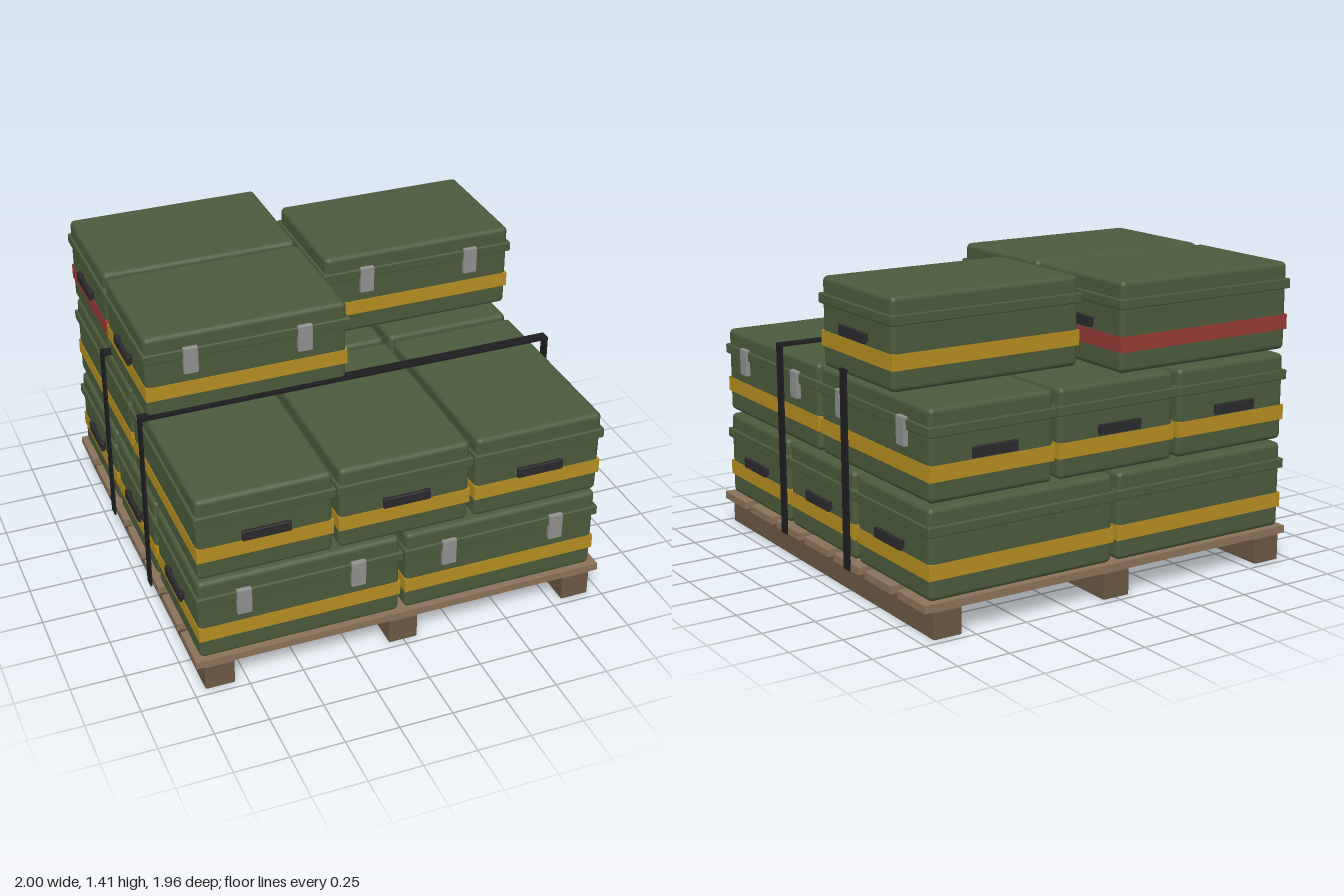
import * as THREE from 'three';
import { RoundedBoxGeometry } from 'three/addons/geometries/RoundedBoxGeometry.js';

const material = (name, color) => {
  const m = new THREE.MeshStandardMaterial({ color });
  m.name = name;
  return m;
};

export function createModel() {
  const green = material('olive green', 0x4b5a3b);
  const yellow = material('band yellow', 0xb58d20);
  const red = material('band red', 0x963a34);
  const grey = material('latch grey', 0x8f918d);
  const black = material('handle black', 0x2a2a2c);
  const webbing = material('strap black', 0x1e1e20);
  const plankWood = material('plank wood', 0x8a7259);
  const runnerWood = material('runner wood', 0x6b5842);

  // Case dimensions: length, height, depth
  const L = 0.937, H = 0.405, D = 0.612;
  const geo = {
    shell: new RoundedBoxGeometry(L, H, D, 3, 0.024),
    rim: new RoundedBoxGeometry(L + 0.022, 0.046, D + 0.022, 2, 0.006),
    band: new THREE.BoxGeometry(L + 0.006, 0.07, D + 0.006),
    latch: new RoundedBoxGeometry(0.068, 0.128, 0.024, 1, 0.004),
    handle: new RoundedBoxGeometry(0.018, 0.048, 0.222, 1, 0.004),
    lug: new THREE.BoxGeometry(0.02, 0.034, 0.026),
    runner: new RoundedBoxGeometry(0.138, 0.125, 1.934, 1, 0.006),
    plank: new THREE.BoxGeometry(1.964, 0.035, 0.228),
  };

  const add = (parent, name, geometry, mat, x, y, z) => {
    const mesh = new THREE.Mesh(geometry, mat);
    mesh.name = name;
    mesh.position.set(x, y, z);
    parent.add(mesh);
    return mesh;
  };

  // One case standing on y = 0, latches facing +z, handles on both ends
  const makeCase = (bandMaterial) => {
    const g = new THREE.Group();
    g.name = 'case';
    add(g, 'shell', geo.shell, green, 0, H / 2, 0);
    add(g, 'lidRim', geo.rim, green, 0, 0.306, 0);
    add(g, 'band', geo.band, bandMaterial, 0, 0.129, 0);
    for (const s of [-1, 1]) {
      add(g, 'latch', geo.latch, grey, s * 0.265, 0.274, D / 2 + 0.01);
      add(g, 'handle', geo.handle, black, s * (L / 2 + 0.018), 0.2, 0);
      for (const e of [-1, 1]) add(g, 'handleLug', geo.lug, black, s * (L / 2 + 0.005), 0.2, e * 0.09);
    }
    return g;
  };

  const model = new THREE.Group();
  model.name = 'palletOfCases';

  // Pallet
  const pallet = new THREE.Group();
  pallet.name = 'pallet';
  model.add(pallet);
  for (const x of [-0.877, -0.003, 0.871]) add(pallet, 'runner', geo.runner, runnerWood, x, 0.0625, 0);
  for (let i = -3; i <= 3; i++) add(pallet, 'plank', geo.plank, plankWood, 0, 0.1425, i * 0.2843);

  const place = (x, layer, z, turn = 0, band = yellow) => {
    const c = makeCase(band);
    c.position.set(x, 0.16 + layer * 0.4235, z);
    c.rotation.y = turn;
    model.add(c);
  };

  // Bottom layer lengthwise, middle layer turned a quarter
  for (const a of [-0.483, 0.483]) {
    for (const b of [-0.642, 0, 0.642]) {
      place(a - 0.005, 0, b);
      place(b - 0.005, 1, a, Math.PI / 2);
    }
  }

  // Loose top layer
  place(-0.489, 2, -0.642, 0, red);
  place(-0.489, 2, 0);
  place(0.506, 2, -0.408);

  // Tie-down straps over the lower two layers
  const legGeo = new THREE.BoxGeometry(0.01, 0.91, 0.05);
  const topGeo = new THREE.BoxGeometry(1.99, 0.012, 0.05);
  for (const z of [-0.305, 0.305]) {
    const strap = new THREE.Group();
    strap.name = 'strap';
    for (const s of [-1, 1]) add(strap, 'strapSide', legGeo, webbing, s * 0.99 - 0.005, 0.58, z);
    add(strap, 'strapTop', topGeo, webbing, -0.005, 1.029, z);
    model.add(strap);
  }

  return model;
}
